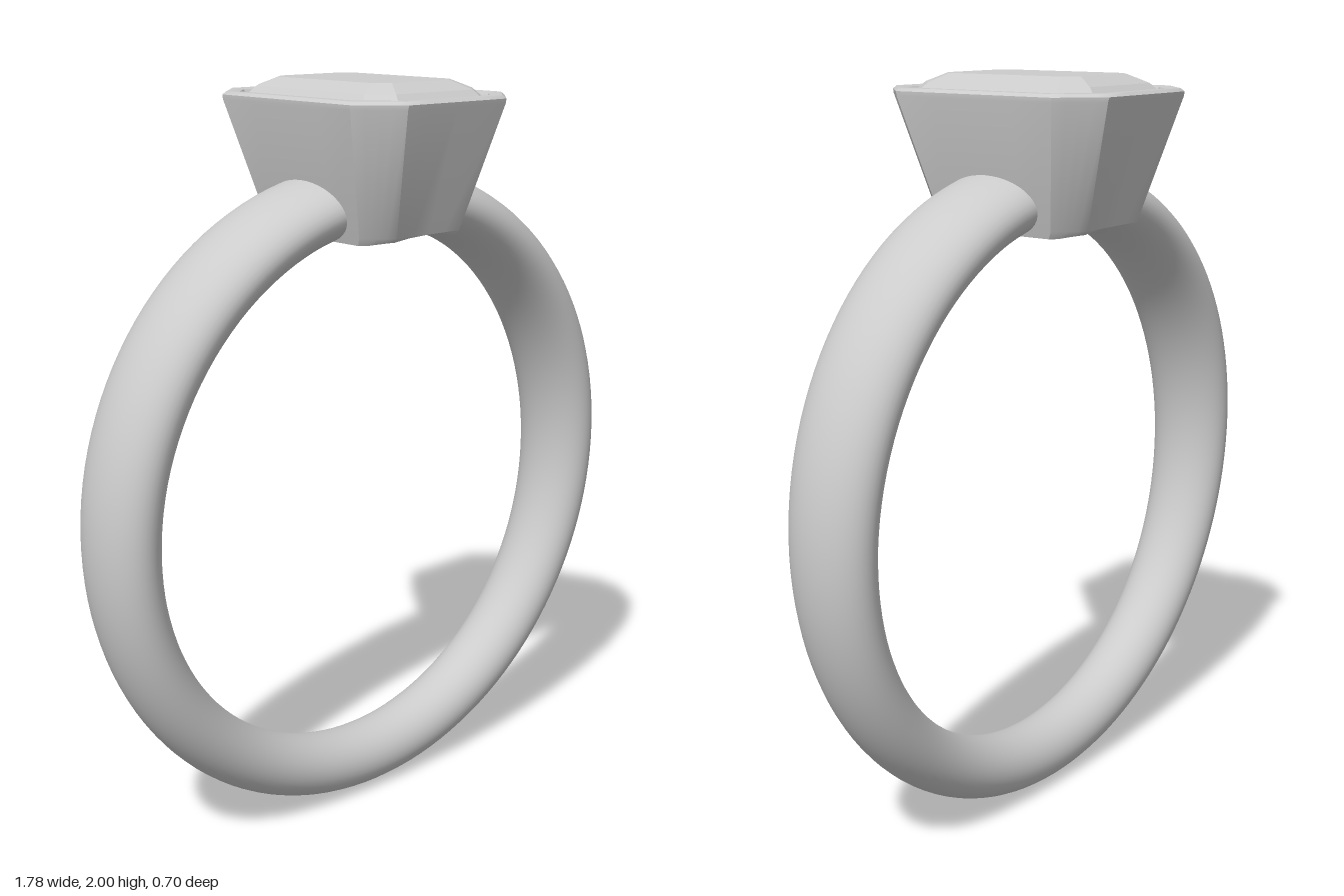
import * as THREE from 'three';
import { toCreasedNormals } from 'three/addons/utils/BufferGeometryUtils.js';

const CENTRE = 0.89;      // height of the finger hole's centre
const OUTER = 0.89, INNER = 0.72;

const material = new THREE.MeshStandardMaterial({ color: 0xcccccc });

// Skins a list of equally long closed loops; normals stay smooth below the crease angle
function skin(rows, crease) {
  const out = [];
  const tri = new THREE.Triangle();
  const add = (a, b, c) => {
    tri.set(a, b, c);
    if (tri.getArea() > 1e-9) for (const p of [a, b, c]) out.push(p.x, p.y, p.z);
  };
  for (let i = 0; i < rows.length - 1; i++) {
    const low = rows[i], high = rows[i + 1], n = low.length;
    for (let j = 0; j < n; j++) {
      const k = (j + 1) % n;
      add(low[j], high[j], low[k]);
      add(low[k], high[j], high[k]);
    }
  }
  const geometry = new THREE.BufferGeometry();
  geometry.setAttribute('position', new THREE.Float32BufferAttribute(out, 3));
  return toCreasedNormals(geometry, crease);
}

// Rectangle with cut corners at height y, each side split into short steps
function octagon([y, hx, hz, cut], steps = 4) {
  const corners = [
    [hx, -hz + cut], [hx, hz - cut], [hx - cut, hz], [-hx + cut, hz],
    [-hx, hz - cut], [-hx, -hz + cut], [-hx + cut, -hz], [hx - cut, -hz],
  ];
  const loop = [];
  corners.forEach(([x, z], i) => {
    const [nx, nz] = corners[(i + 1) % 8];
    for (let s = 0; s < steps; s++) {
      const t = s / steps;
      loop.push(new THREE.Vector3(x + (nx - x) * t, y, z + (nz - z) * t));
    }
  });
  return loop;
}

// Band: an oval section swept round the finger, widening towards the top
function bandGeometry() {
  const gap = 0.2, segments = 120, sides = 40;
  const middle = (OUTER + INNER) / 2, thick = (OUTER - INNER) / 2;
  const section = (angle, size) => {
    const loop = [];
    const width = 0.095 + 0.034 * (CENTRE + middle * Math.cos(angle) - 0.085);
    for (let j = 0; j < sides; j++) {
      const s = (j / sides) * Math.PI * 2;
      const r = middle + thick * size * Math.cos(s);
      loop.push(new THREE.Vector3(
        r * Math.sin(angle), CENTRE + r * Math.cos(angle), -width * size * Math.sin(s)));
    }
    return loop;
  };
  const rows = [section(gap, 0)];
  for (let i = 0; i <= segments; i++) {
    rows.push(section(gap + (i / segments) * (Math.PI * 2 - 2 * gap), 1));
  }
  rows.push(section(Math.PI * 2 - gap, 0));
  return skin(rows, 0.7);
}

// Bezel: tapered cut-corner cup with a rounded rim and an open, finger-curved base
function bezelGeometry() {
  const profile = [
    [1.60, 0.172, 0.235, 0.065],
    [1.62, 0.178, 0.247, 0.067],
    [1.945, 0.268, 0.346, 0.098],
    [1.957, 0.269, 0.349, 0.1],
    [1.965, 0.260, 0.340, 0.096],
    [1.966, 0.245, 0.325, 0.09],
    [1.962, 0.230, 0.310, 0.08],
    [1.950, 0.221, 0.301, 0.072],
    [1.930, 0.217, 0.297, 0.068],
    [1.880, 0.205, 0.285, 0.065],
    [1.720, 0.110, 0.165, 0.045],
    [1.600, 0.095, 0.145, 0.040],
  ];
  const rows = profile.map((p) => octagon(p));
  rows.push(rows[0]);
  for (const row of new Set(rows)) {
    for (const p of row) {
      p.y = Math.max(p.y, CENTRE + Math.sqrt(0.727 ** 2 - Math.min(Math.abs(p.x), 0.3) ** 2));
    }
  }
  return skin(rows, 0.55);
}

// Stone: step-cut crown above the girdle, pavilion narrowing to a keel
function stoneGeometry() {
  const profile = [
    [1.70, 0, 0.08, 0],
    [1.79, 0.10, 0.18, 0.035],
    [1.87, 0.17, 0.25, 0.055],
    [1.93, 0.214, 0.294, 0.065],
    [1.950, 0.214, 0.294, 0.065],
    [1.977, 0.188, 0.265, 0.055],
    [2.0, 0.135, 0.215, 0.035],
    [2.0, 0, 0, 0],
  ];
  return skin(profile.map((p) => octagon(p, 1)), 0.1);
}

export function createModel() {
  const ring = new THREE.Group();
  ring.name = 'ring';
  const parts = { band: bandGeometry(), bezel: bezelGeometry(), stone: stoneGeometry() };
  for (const [name, geometry] of Object.entries(parts)) {
    const mesh = new THREE.Mesh(geometry, material);
    mesh.name = name;
    ring.add(mesh);
  }
  return ring;
}
